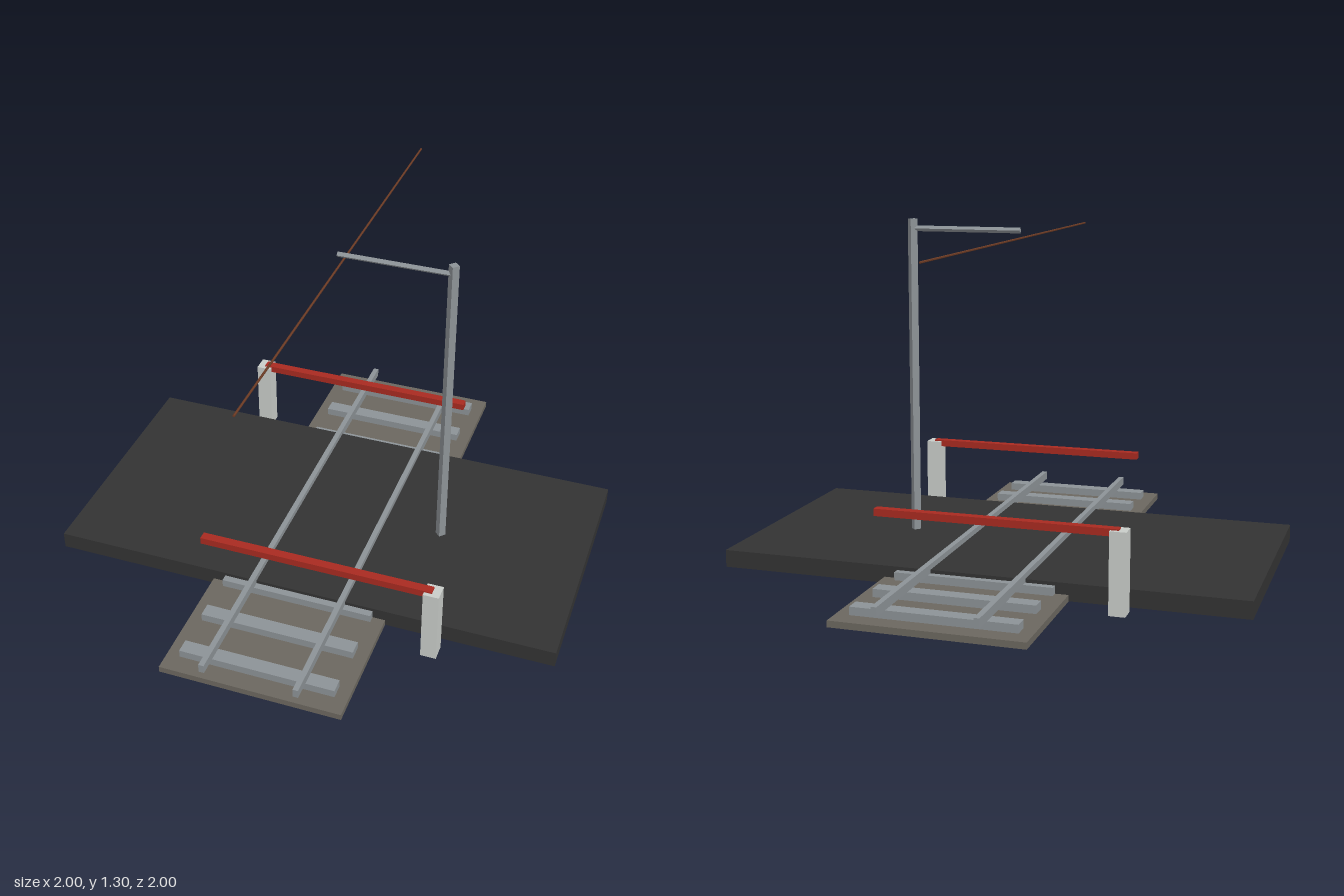
import * as THREE from 'three';

const mat = (name, color) => {
  const m = new THREE.MeshStandardMaterial({ color });
  m.name = name;
  return m;
};

export function createModel() {
  const asphalt = mat('asphalt', 0x333333);
  const gravel = mat('gravel', 0x6b675f);
  const steel = mat('steel', 0x8c9296);
  const concrete = mat('concrete', 0xc8ccc8);
  const red = mat('barrierRed', 0xa82a20);
  const copper = mat('copper', 0x6b3a24);
  const model = new THREE.Group();
  model.name = 'levelCrossing';

  // Box spanning from y0 to y1, centred on x and z
  const box = (name, m, w, d, x, y0, y1, z, parent = model) => {
    const mesh = new THREE.Mesh(new THREE.BoxGeometry(w, y1 - y0, d), m);
    mesh.name = name;
    mesh.position.set(x, (y0 + y1) / 2, z);
    parent.add(mesh);
    return mesh;
  };
  // Faceted rod
  const rod = (name, m, r, length, sides, x, y, z) => {
    const geo = new THREE.CylinderGeometry(r, r, length, sides).toNonIndexed();
    geo.computeVertexNormals();
    const mesh = new THREE.Mesh(geo, m);
    mesh.name = name;
    mesh.position.set(x, y, z);
    model.add(mesh);
    return mesh;
  };

  // Ground: road across the track bed
  box('road', asphalt, 2, 1, 0, 0.001, 0.067, 0);
  box('trackBed', gravel, 0.7, 2, 0, 0, 0.024, 0);

  // Track
  for (let i = 0; i < 10; i++) box('sleeper', steel, 0.6, 0.056, 0, 0.022, 0.054, -0.9 + i * 0.2);
  for (const s of [-1, 1]) box('rail', steel, 0.021, 2, s * 0.18, 0.054, 0.088, 0);

  // Barriers on opposite sides, one turned half round
  for (const s of [-1, 1]) {
    const barrier = new THREE.Group();
    barrier.name = s > 0 ? 'frontBarrier' : 'backBarrier';
    box('barrierPost', concrete, 0.06, 0.064, 0.55, 0, 0.3, 0.575, barrier);
    box('barrierArm', red, 0.9, 0.034, 0.1, 0.278, 0.305, 0.575, barrier);
    if (s < 0) barrier.rotation.y = Math.PI;
    model.add(barrier);
  }

  // Overhead line: mast, bracket and wire
  rod('mast', steel, 0.02, 1.3, 4, 0.42, 0.65, 0);
  rod('bracket', steel, 0.011, 0.435, 4, 0.203, 1.263, 0).rotation.z = Math.PI / 2;
  rod('contactWire', copper, 0.004, 2, 6, 0, 1.23, 0).rotation.x = Math.PI / 2;

  return model;
}
